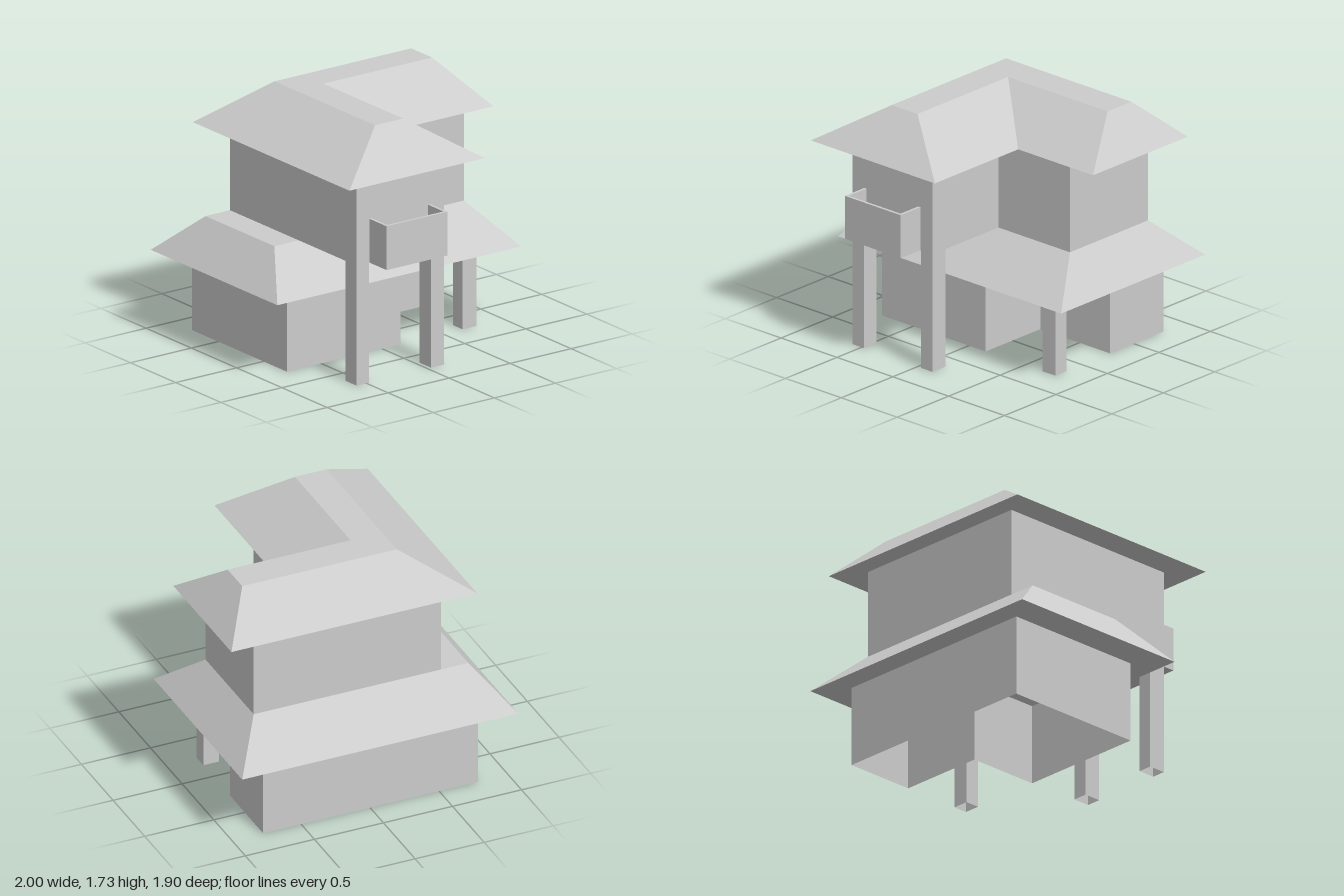
import * as THREE from 'three';
import { mergeGeometries } from 'three/addons/utils/BufferGeometryUtils.js';

const material = new THREE.MeshStandardMaterial({ color: 0xcccccc, side: THREE.DoubleSide });

// Plan outlines are [x, z] corners, counter-clockwise seen from above.
const rect = (x0, x1, z0, z1) => [[x0, z1], [x1, z1], [x1, z0], [x0, z0]];

// L-shaped plan: a front wing (x0..xi) reaching z1 and a side wing (to x1) reaching zi.
const ell = (x0, xi, x1, z0, zi, z1) =>
  [[x0, z1], [xi, z1], [xi, zi], [x1, zi], [x1, z0], [x0, z0]];

// Faces joining a lower outline to an upper one.
function sides(lower, y0, upper, y1) {
  const p = [];
  lower.forEach(([ax, az], i) => {
    const j = (i + 1) % lower.length;
    const [bx, bz] = lower[j], [cx, cz] = upper[j], [dx, dz] = upper[i];
    p.push(ax, y0, az, bx, y0, bz, cx, y1, cz, ax, y0, az, cx, y1, cz, dx, y1, dz);
  });
  const g = new THREE.BufferGeometry();
  g.setAttribute('position', new THREE.Float32BufferAttribute(p, 3));
  g.computeVertexNormals();
  return g;
}

// Horizontal face, optionally with a hole, looking up or down.
function flat(outline, y, up, hole) {
  const s = up ? -1 : 1;
  const points = (o) => o.map(([x, z]) => new THREE.Vector2(x, s * z));
  const shape = new THREE.Shape(points(outline));
  if (hole) shape.holes.push(new THREE.Path(points(hole)));
  const g = new THREE.ShapeGeometry(shape).toNonIndexed();
  g.rotateX(s * Math.PI / 2).translate(0, y, 0);
  g.deleteAttribute('uv');
  return g;
}

export function createModel() {
  const model = new THREE.Group();
  const add = (name, geometry, parent = model) => {
    const mesh = new THREE.Mesh(geometry, material);
    mesh.name = name;
    parent.add(mesh);
  };
  const box = (name, x0, x1, y0, y1, z0, z1, parent) => add(name,
    new THREE.BoxGeometry(x1 - x0, y1 - y0, z1 - z0)
      .translate((x0 + x1) / 2, (y0 + y1) / 2, (z0 + z1) / 2), parent);
  // Truncated hip roof with a soffit around the walls below it.
  const roof = (name, eave, y0, top, y1, walls) => add(name, mergeGeometries([
    sides(eave, y0, top, y1), flat(top, y1, true), flat(eave, y0, false, walls),
  ]));

  // Ground floor, with a porch cut out of its front left corner
  const ground = ell(-0.78, 0.15, 0.775, -0.79, -0.27, 0.26);
  add('groundFloorWalls', sides(ground, 0, ground, 0.56));
  box('porchFrontBeam', 0.15, 0.775, 0.495, 0.56, 0.155, 0.26);
  box('porchSideBeam', 0.66, 0.775, 0.495, 0.56, -0.27, 0.155);

  // Hollow posts: one at the porch, two below the overhanging wing
  const posts = [
    ['porchPost', rect(0.66, 0.775, 0.155, 0.26), 0.495],
    ['rightFrontPost', rect(-0.58, -0.48, 0.635, 0.76), 0.835],
    ['leftFrontPost', rect(0.03, 0.135, 0.635, 0.76), 0.835],
  ];
  for (const [name, plan, height] of posts) add(name, sides(plan, 0, plan, height));

  // Skirt roof between the floors
  roof('lowerRoof', rect(-1, 1, -0.95, 0.45), 0.56,
    rect(-0.78, 0.775, -0.64, 0.12), 0.835, rect(-0.78, 0.775, -0.79, 0.26));

  // L-shaped upper floor with its overhanging front wing
  const upper = ell(-0.58, 0.135, 0.775, -0.64, 0.12, 0.76);
  add('upperFloorWalls', mergeGeometries([
    sides(upper, 0.835, upper, 1.45), flat(upper, 0.835, false),
  ]));

  // L-shaped main roof
  roof('upperRoof', ell(-0.78, 0.33, 1, -0.78, 0.14, 0.95), 1.45,
    ell(-0.34, -0.11, 0.78, -0.47, -0.24, 0.64), 1.73, upper);

  // Balcony, open at the top
  const balcony = new THREE.Group();
  balcony.name = 'balcony';
  model.add(balcony);
  const t = 0.02;
  box('balconyFloor', -0.475, 0.025, 0.835, 0.835 + t, 0.76, 0.95 - t, balcony);
  box('balconyFront', -0.475, 0.025, 0.835, 1.14, 0.95 - t, 0.95, balcony);
  for (const [name, x] of [['balconyRightSide', -0.475], ['balconyLeftSide', 0.025 - t]]) {
    box(name, x, x + t, 0.835, 1.14, 0.76, 0.95 - t, balcony);
  }
  return model;
}
